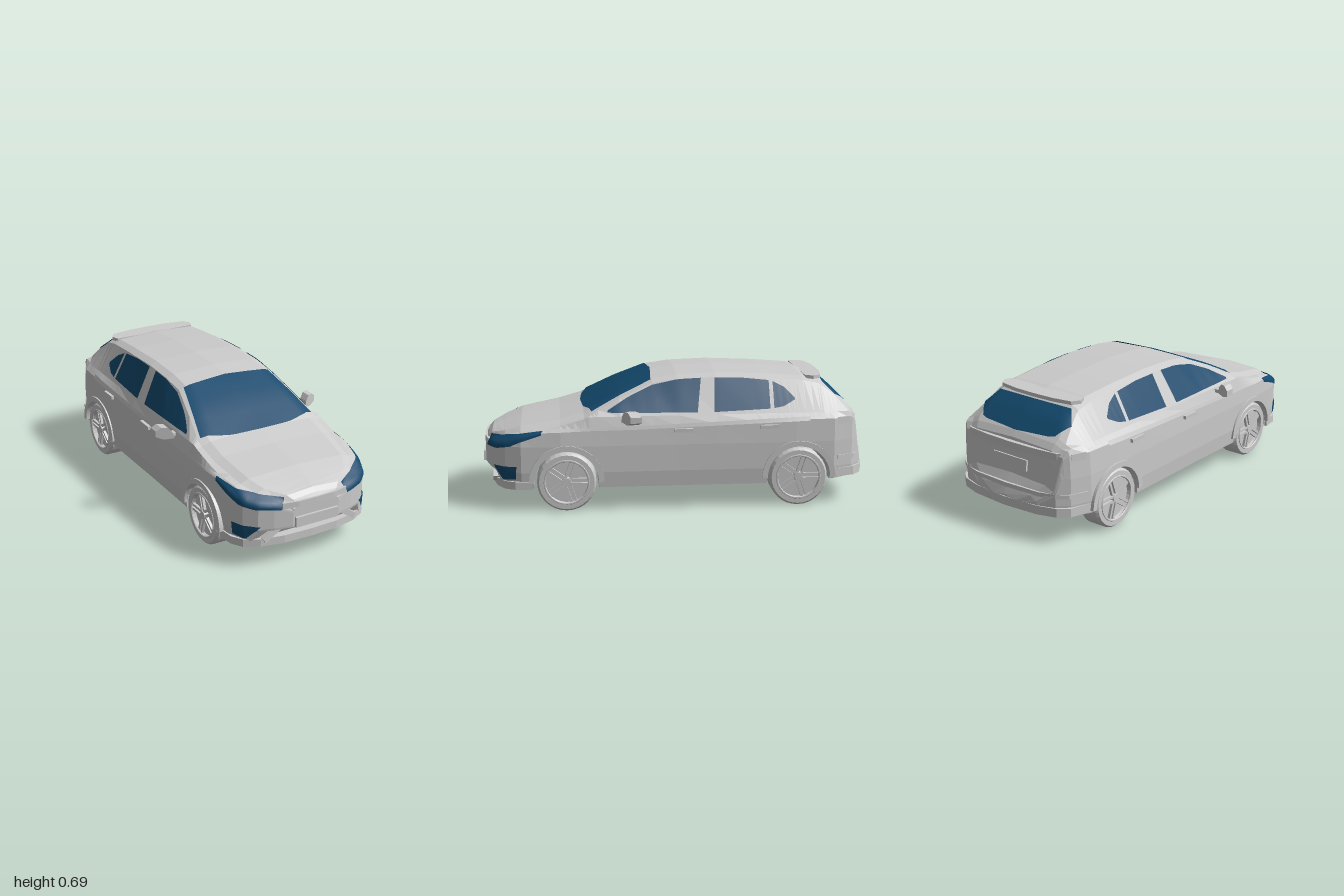
import * as THREE from 'three';

const grey = new THREE.MeshStandardMaterial({ color: 0xcccccc, flatShading: true });
const greyThin = new THREE.MeshStandardMaterial({ color: 0xcccccc, side: THREE.DoubleSide });
const glass = new THREE.MeshStandardMaterial({ color: 0x134a6e, side: THREE.DoubleSide });

// Body curves as [z, value] knots
const WIDTH = [[-0.995, 0.1], [-0.98, 0.2], [-0.95, 0.29], [-0.9, 0.345], [-0.8, 0.385], [-0.6, 0.395], [0, 0.392],
  [0.6, 0.395], [0.8, 0.378], [0.88, 0.345], [0.93, 0.29], [0.96, 0.22], [0.985, 0.13]];
const TOP = [[-0.995, 0.2], [-0.98, 0.24], [-0.95, 0.3], [-0.93, 0.42], [-0.92, 0.47], [-0.9, 0.5], [-0.82, 0.58], [-0.74, 0.64],
  [-0.65, 0.66], [-0.45, 0.675], [-0.2, 0.685], [0, 0.678], [0.13, 0.66], [0.3, 0.59], [0.48, 0.5], [0.6, 0.467],
  [0.8, 0.43], [0.95, 0.378], [0.97, 0.358], [0.985, 0.335]];
const BOTTOM = [[-0.995, 0.15], [-0.8, 0.135], [-0.5, 0.12], [0.89, 0.12], [0.93, 0.2], [0.985, 0.21]];
const CREASE = [[-0.93, 0.45], [-0.6, 0.45], [0.2, 0.42], [0.7, 0.405], [0.95, 0.335]];
const SHOULDER = [[-0.92, 0.33], [-0.75, 0.355], [0, 0.365], [0.45, 0.37], [0.7, 0.365], [0.85, 0.33], [0.985, 0.13]];
const RAIL = [[-0.95, 0.27], [-0.88, 0.3], [-0.75, 0.26], [-0.4, 0.27], [0.13, 0.275], [0.45, 0.34], [0.6, 0.335],
  [0.8, 0.31], [0.93, 0.24], [0.985, 0.12]];
const WHEELS = [0.572, -0.615], ARCH = 0.162;

function at(curve, z) {
  if (z <= curve[0][0]) return curve[0][1];
  for (let i = 1; i < curve.length; i++) {
    const [a, p] = curve[i - 1], [b, q] = curve[i];
    if (z <= b) return p + (q - p) * (z - a) / (b - a);
  }
  return curve[curve.length - 1][1];
}

function floorAt(z) {
  for (const c of WHEELS) {
    const d = Math.abs(z - c);
    if (d <= ARCH + 1e-6) return 0.15 + Math.sqrt(Math.max(0, ARCH * ARCH - d * d));
  }
  return at(BOTTOM, z);
}

// Half cross-section from the floor centre up to the roof centre
function section(z) {
  const w = at(WIDTH, z), t = at(TOP, z), b = floorAt(z);
  const sillY = Math.max(b + 0.01, Math.min(0.2, t - 0.06));
  const sideY = Math.max(sillY + 0.005, Math.min(0.335, t - 0.05));
  const shoulderY = Math.max(sideY + 0.01, Math.min(0.48, t - 0.03));
  const creaseY = Math.max(sideY + 0.004, Math.min(at(CREASE, z), shoulderY - 0.012));
  const s = Math.min(at(SHOULDER, z), w * 0.97), r = Math.min(at(RAIL, z), s * 0.94);
  return [[0, b], [w * 0.98, b], [w, sillY], [w, sideY], [w * 0.985, creaseY], [s, shoulderY],
    [r, Math.max(shoulderY + 0.003, t - 0.028)], [r * 0.86, t - 0.01], [0, t]];
}

function bodyGeometry() {
  const knots = [WIDTH, TOP, BOTTOM, CREASE, SHOULDER, RAIL].flat().map(k => k[0]);
  for (const c of WHEELS) {
    knots.push(c - ARCH - 0.001, c + ARCH + 0.001);
    for (let i = 0; i <= 12; i++) knots.push(c - ARCH * Math.cos(Math.PI * i / 12));
  }
  const zs = knots.filter(z => z >= -0.995 && z <= 0.985).sort((a, b) => a - b)
    .filter((z, i, all) => i === 0 || z - all[i - 1] > 1e-5);
  const pos = [], index = [];
  let n = 0;
  for (const z of zs) {
    const half = section(z);
    const ring = [...half, ...half.slice(1, -1).reverse().map(([x, y]) => [-x, y])];
    n = ring.length;
    for (const [x, y] of ring) pos.push(x, y, z);
  }
  for (let i = 0; i < zs.length - 1; i++) for (let j = 0; j < n; j++) {
    const a = i * n + j, b = i * n + (j + 1) % n;
    index.push(a, b, b + n, a, b + n, a + n);
  }
  const last = (zs.length - 1) * n;
  for (let j = 1; j < n - 1; j++) index.push(0, j + 1, j, last, last + j, last + j + 1);
  const g = new THREE.BufferGeometry();
  g.setAttribute('position', new THREE.Float32BufferAttribute(pos, 3));
  g.setIndex(index);
  g.computeVertexNormals();
  return g;
}

export function createModel() {
  const car = new THREE.Group();
  car.name = 'car';
  const add = (name, geometry, material = grey, parent = car) => {
    const m = new THREE.Mesh(geometry, material);
    m.name = name;
    parent.add(m);
    return m;
  };
  const box = (name, w, h, d, x, y, z, parent = car) => {
    const m = add(name, new THREE.BoxGeometry(w, h, d), grey, parent);
    m.position.set(x, y, z);
    return m;
  };
  const body = add('body', bodyGeometry());
  const ray = new THREE.Raycaster();

  // Panel between two guide lines, laid onto the body along a direction
  function panel(name, upper, lower, dir, material = glass, side = 1, cols = 18, rows = 6, lift = 0.005) {
    const flip = p => new THREE.Vector3(p[0] * side, p[1], p[2]);
    const along = (pts, u) => {
      const f = u * (pts.length - 1), i = Math.min(Math.floor(f), pts.length - 2);
      return flip(pts[i]).lerp(flip(pts[i + 1]), f - i);
    };
    const d = flip(dir).normalize();
    const g = new THREE.PlaneGeometry(1, 1, cols, rows), p = g.attributes.position;
    for (let r = 0; r <= rows; r++) for (let c = 0; c <= cols; c++) {
      const v = along(upper, c / cols).lerp(along(lower, c / cols), r / rows);
      ray.set(v.clone().addScaledVector(d, 1), d.clone().negate());
      const hit = ray.intersectObject(body)[0];
      if (hit) v.copy(hit.point).addScaledVector(hit.face.normal, lift);
      p.setXYZ(r * (cols + 1) + c, v.x, v.y, v.z);
    }
    g.computeVertexNormals();
    add(name, g, material);
  }

  // Horizontal slab from half a plan outline of [x, z]
  function slab(name, half, y, h) {
    const pts = [...half, ...half.slice().reverse().map(([x, z]) => [-x, z])].map(([x, z]) => new THREE.Vector2(x, -z));
    const g = new THREE.ExtrudeGeometry(new THREE.Shape(pts), { depth: h, bevelEnabled: false });
    add(name, g.rotateX(-Math.PI / 2).translate(0, y, 0));
  }

  // Windscreen and rear window
  panel('windscreen', [[-0.25, 0.65, 0.135], [0, 0.65, 0.12], [0.25, 0.65, 0.135]],
    [[-0.325, 0.49, 0.44], [-0.17, 0.49, 0.48], [0, 0.49, 0.49], [0.17, 0.49, 0.48], [0.325, 0.49, 0.44]], [0, 1, 0]);
  panel('rearWindow', [[-0.23, 0.62, -0.76], [0, 0.62, -0.765], [0.23, 0.62, -0.76]],
    [[-0.28, 0.56, -0.82], [-0.23, 0.51, -0.885], [0, 0.5, -0.9], [0.23, 0.51, -0.885], [0.28, 0.56, -0.82]], [0, 0.6, -0.8]);

  // Paired panels on the flanks and corners
  for (const s of [1, -1]) {
    const flank = (name, up, low, mat, rows, lift) =>
      panel(name, up.map(([z, y]) => [0.4, y, z]), low.map(([z, y]) => [0.4, y, z]), [1, 0, 0], mat, s, 18, rows, lift);
    flank('frontSideWindow', [[0.36, 0.505], [0.25, 0.57], [0.13, 0.622], [0, 0.648], [-0.12, 0.653]], [[0.36, 0.495], [-0.095, 0.49]]);
    flank('rearSideWindow', [[-0.19, 0.653], [-0.33, 0.65], [-0.47, 0.635]], [[-0.18, 0.49], [-0.47, 0.5]]);
    flank('quarterWindow', [[-0.49, 0.63], [-0.55, 0.6], [-0.6, 0.55]], [[-0.49, 0.502], [-0.54, 0.51], [-0.6, 0.54]]);
    flank('beltTrim', [[0.73, 0.418], [0.2, 0.432], [-0.67, 0.46]], [[0.73, 0.41], [0.2, 0.416], [-0.67, 0.444]], greyThin, 1, 0.007);
    panel('headlight', [[0.17, 0.362, 0.96], [0.28, 0.376, 0.93], [0.36, 0.395, 0.84], [0.385, 0.415, 0.7]],
      [[0.18, 0.31, 0.965], [0.3, 0.318, 0.91], [0.36, 0.335, 0.86], [0.385, 0.395, 0.7]], [0.65, 0.1, 0.75], glass, s);
    panel('fogLight', [[0.275, 0.228, 0.93], [0.368, 0.232, 0.82]], [[0.33, 0.162, 0.89], [0.368, 0.168, 0.83]],
      [0.65, 0, 0.75], glass, s);

    // Door mirror, swept back toward its tip
    const outline = [[0.39, 0.457], [0.44, 0.45], [0.475, 0.465], [0.475, 0.495], [0.45, 0.515], [0.42, 0.515], [0.4, 0.49]];
    const mg = new THREE.ExtrudeGeometry(new THREE.Shape(outline.map(([x, y]) => new THREE.Vector2(x * s, y))),
      { depth: 0.055, bevelEnabled: false });
    const mp = mg.attributes.position;
    for (let i = 0; i < mp.count; i++) mp.setZ(i, mp.getZ(i) + 0.235 - (Math.abs(mp.getX(i)) - 0.4) * 0.5);
    mg.computeVertexNormals();
    add('doorMirror', mg);
    box('mirrorArm', 0.05, 0.018, 0.035, 0.378 * s, 0.465, 0.255);
    for (const [z, y] of [[-0.02, 0.408], [-0.46, 0.418]]) box('doorHandle', 0.03, 0.018, 0.095, 0.39 * s, y, z);

    // Diagonal bars beside the lower grille
    box('grilleSide', 0.11, 0.03, 0.04, 0.215 * s, 0.18, 0.925).rotation.z = -s * 0.6;

    // Wheels and arch lips
    for (const z of WHEELS) {
      const wheel = new THREE.Group();
      wheel.name = 'wheel';
      wheel.position.set(0.332 * s, 0.15, z);
      wheel.rotation.z = -s * Math.PI / 2;
      car.add(wheel);
      const profile = [[0, -0.05], [0.1, -0.05], [0.11, -0.06], [0.14, -0.06], [0.15, -0.045], [0.15, 0.045], [0.14, 0.058],
        [0.116, 0.058], [0.108, 0.035], [0, 0.035]];
      add('tyre', new THREE.LatheGeometry(profile.map(p => new THREE.Vector2(...p)), 32), grey, wheel);
      add('rim', new THREE.TorusGeometry(0.112, 0.006, 6, 32).rotateX(Math.PI / 2).translate(0, 0.056, 0), grey, wheel);
      add('hub', new THREE.CylinderGeometry(0.022, 0.026, 0.022, 12).translate(0, 0.046, 0), grey, wheel);
      for (let k = 0; k < 10; k++) {
        const spoke = new THREE.BoxGeometry(0.094, 0.014, 0.013).translate(0.063, 0.046, k % 2 ? 0.012 : -0.012);
        add('spoke', spoke.rotateY(Math.floor(k / 2) * Math.PI * 0.4 + Math.PI / 2), grey, wheel);
      }
      const lip = new THREE.Shape();
      lip.absarc(0, 0, 0.19, 0, Math.PI, false);
      lip.absarc(0, 0, ARCH, Math.PI, 0, true);
      add('archLip', new THREE.ExtrudeGeometry(lip, { depth: 0.024, bevelEnabled: false, curveSegments: 16 })
        .rotateY(Math.PI / 2).translate(s > 0 ? 0.378 : -0.402, 0.15, z));
    }
  }

  // Axles
  for (const z of WHEELS) add('axle', new THREE.CylinderGeometry(0.013, 0.013, 0.6, 10).rotateZ(Math.PI / 2).translate(0, 0.15, z));

  // Nose: chin, grille bar and plate
  slab('frontLip', [[0.388, 0.745], [0.378, 0.83], [0.345, 0.885], [0.27, 0.925], [0.15, 0.95], [0, 0.955]], 0.115, 0.04);
  slab('grilleBar', [[0.19, 0.9], [0.18, 0.972], [0.1, 0.988], [0, 0.99]], 0.312, 0.03);
  box('frontPlate', 0.24, 0.052, 0.02, 0, 0.236, 0.988);

  // Tail: bumper, light band, plate and spoiler
  slab('rearBumper', [[0.388, -0.79], [0.352, -0.91], [0.3, -0.955], [0.2, -0.985], [0, -1]], 0.145, 0.045);
  slab('rearBumperRidge', [[0.384, -0.82], [0.345, -0.91], [0.29, -0.95], [0.2, -0.975], [0, -0.985]], 0.235, 0.022);
  slab('tailLightBand', [[0.375, -0.82], [0.345, -0.89], [0.28, -0.925], [0.15, -0.94], [0, -0.945]], 0.42, 0.035);
  box('rearPlate', 0.22, 0.055, 0.015, 0, 0.355, -0.943).rotation.x = 0.16;
  slab('spoiler', [[0.235, -0.67], [0.25, -0.71], [0.225, -0.75], [0.12, -0.768], [0, -0.772]], 0.634, 0.018);

  return car;
}
